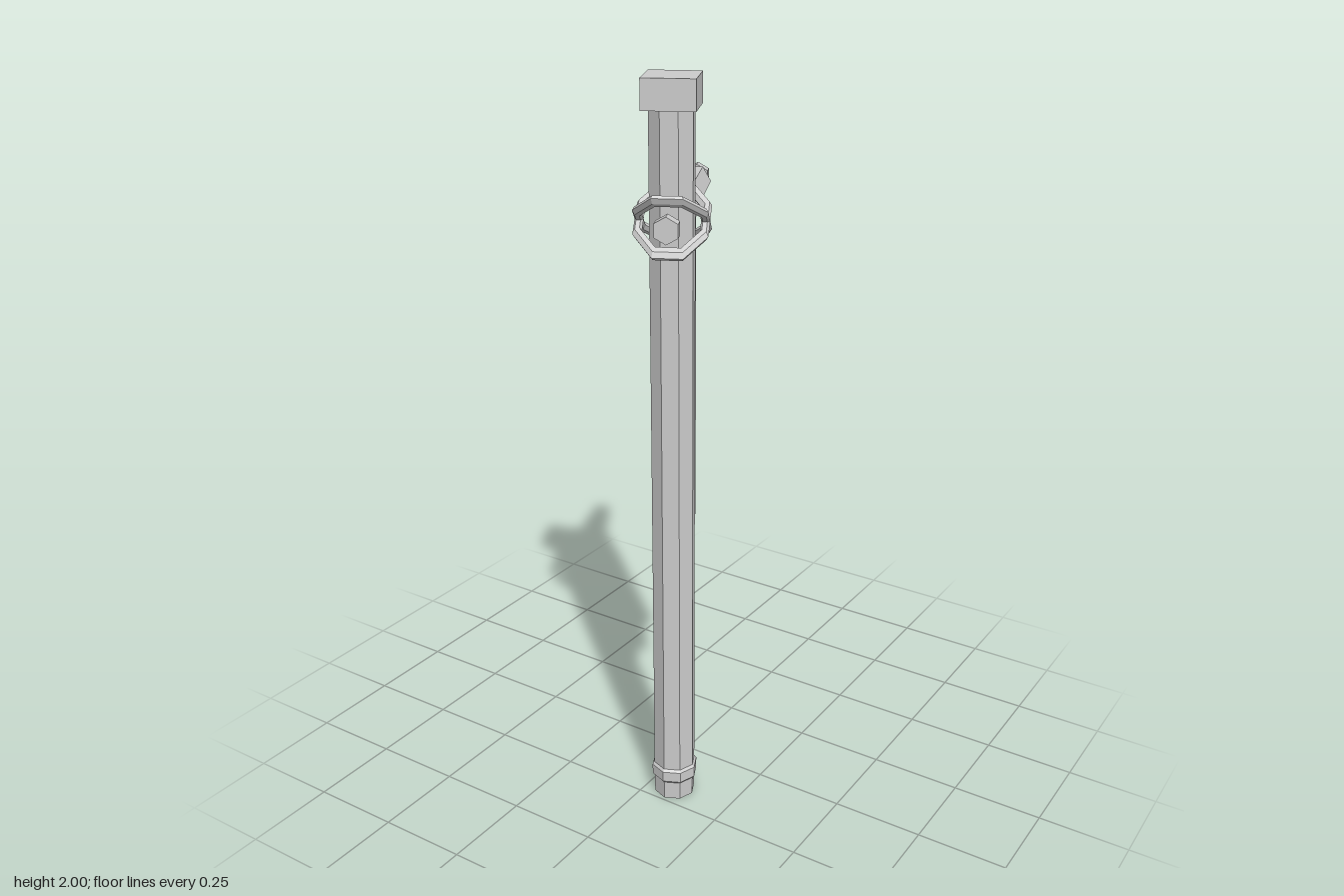
import * as THREE from 'three';

const stone = new THREE.MeshStandardMaterial({ color: 0xcccccc, flatShading: true });
stone.name = 'plainGrey';

const ARM_Y = 1.655; // height of the crossbar axis

export function createModel() {
  const model = new THREE.Group();
  model.name = 'bannerPole';
  // everything is built around the pole, with the arm along -z, then turned
  model.position.set(0.074, 0, 0.184);
  model.rotation.y = 0.45;

  const add = (name, geometry) => {
    const mesh = new THREE.Mesh(geometry, stone);
    mesh.name = name;
    model.add(mesh);
    return mesh;
  };

  // hexagonal bar along the arm, between two distances from the pole axis
  const armBar = (name, from, to, r, flatTop = false) => {
    const g = new THREE.CylinderGeometry(r, r, to - from, 6);
    if (flatTop) g.rotateY(Math.PI / 6);
    g.rotateX(Math.PI / 2);
    g.translate(0, ARM_Y, -(from + to) / 2);
    add(name, g);
  };

  // octagonal pole with a collar near the foot
  const profile = [
    [0, 0], [0.057, 0], [0.058, 0.053], [0.064, 0.06], [0.064, 0.09],
    [0.058, 0.097], [0.058, 1.93], [0, 1.93],
  ].map(([x, y]) => new THREE.Vector2(x, y));
  add('pole', new THREE.LatheGeometry(profile, 8, Math.PI / 8));

  // square cap
  add('poleCap', new THREE.BoxGeometry(0.132, 0.075, 0.132).translate(0, 1.9625, 0));

  // crossbar: thin rod through the pole, thick beam, rings and end knobs
  armBar('rod', -0.085, 0.495, 0.023);
  armBar('beam', 0.104, 0.438, 0.045, true);
  armBar('innerRing', 0.07, 0.092, 0.03);
  armBar('outerRing', 0.438, 0.469, 0.03);
  armBar('outerKnob', 0.489, 0.522, 0.034);
  armBar('frontKnob', -0.1125, -0.079, 0.034);

  // two slanted rope loops that cross at the sides of the pole
  for (const slope of [0.78, -0.78]) {
    const g = new THREE.TorusGeometry(0.088, 0.012, 6, 8);
    g.rotateX(Math.PI / 2);
    g.rotateY(Math.PI / 8);
    const p = g.attributes.position;
    for (let i = 0; i < p.count; i++) p.setY(i, p.getY(i) + slope * p.getZ(i) + ARM_Y);
    g.computeVertexNormals();
    add(slope > 0 ? 'ropeLoopA' : 'ropeLoopB', g);
  }

  // flat sheet hanging in the plane of the arm; shape x is distance from the pole
  const sheet = (name, shape, thickness) => {
    const g = new THREE.ExtrudeGeometry(shape, { depth: thickness, bevelEnabled: false });
    g.translate(0, 0, -thickness / 2);
    g.rotateY(Math.PI / 2);
    add(name, g);
  };
  const outline = (points) => points.map(([x, y]) => new THREE.Vector2(x, y));

  // banner cloth with a ragged lower edge
  sheet('banner', new THREE.Shape(outline([
    [0.104, ARM_Y], [0.104, 0.658], [0.204, 0.705], [0.271, 0.605],
    [0.338, 0.705], [0.438, 0.658], [0.438, ARM_Y],
  ])), 0.01);

  // emblem: a diamond frame with small diamonds inside and beside it
  const diamond = (cx, w, h) => outline([
    [cx - w, 1.195], [cx, 1.195 - h], [cx + w, 1.195], [cx, 1.195 + h],
  ]);
  const frame = new THREE.Shape(diamond(0.271, 0.078, 0.146));
  frame.holes.push(new THREE.Path(diamond(0.271, 0.066, 0.124).reverse()));
  sheet('emblemFrame', frame, 0.012);
  sheet('emblemCentre', new THREE.Shape(diamond(0.271, 0.02, 0.036)), 0.012);
  for (const side of [-1, 1]) {
    sheet('emblemSide', new THREE.Shape(diamond(0.271 + side * 0.1, 0.015, 0.022)), 0.012);
  }

  const root = new THREE.Group();
  root.name = 'hangingBanner';
  root.add(model);
  return root;
}
